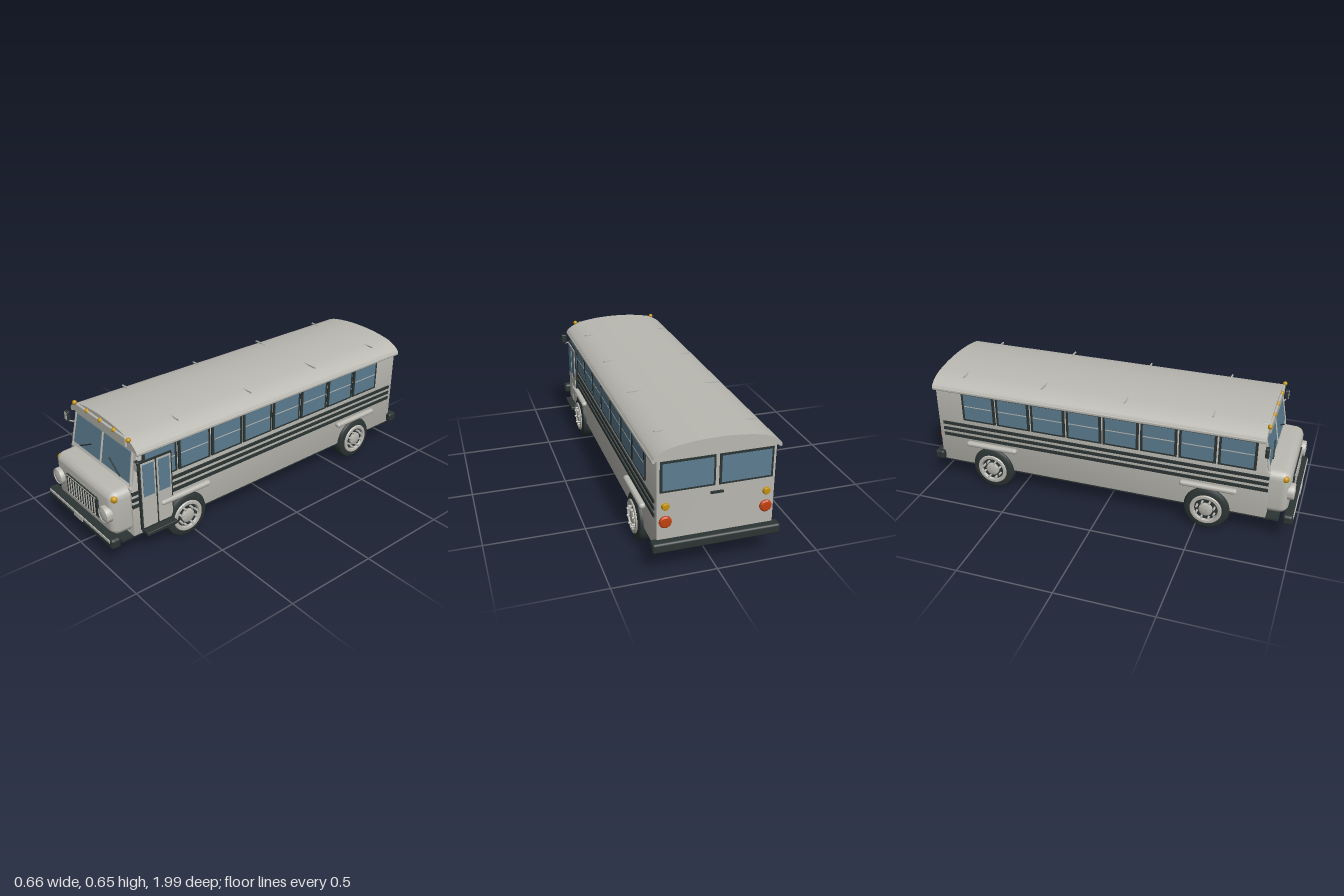
import * as THREE from 'three';
import { toCreasedNormals } from 'three/addons/utils/BufferGeometryUtils.js';
import { RoundedBoxGeometry } from 'three/addons/geometries/RoundedBoxGeometry.js';

const mat = (name, color) => {
  const m = new THREE.MeshStandardMaterial({ color });
  m.name = name;
  return m;
};
const paint = mat('light grey paint', 0xb9b8b1);
const dark = mat('dark trim', 0x2c3534);
const glass = mat('window glass', 0x5b7c90);
const amber = mat('amber lamp', 0xc4920c);
const red = mat('red lamp', 0xc0400e);

const V = (x, y, z) => new THREE.Vector3(x, y, z);

function add(parent, name, geo, material, x = 0, y = 0, z = 0) {
  const m = new THREE.Mesh(geo, material);
  m.name = name;
  m.position.set(x, y, z);
  parent.add(m);
  return m;
}
const box = (p, n, m, w, h, d, x, y, z) => add(p, n, new THREE.BoxGeometry(w, h, d), m, x, y, z);
const soft = (p, n, m, w, h, d, r, x, y, z) => add(p, n, new RoundedBoxGeometry(w, h, d, 4, r), m, x, y, z);
const ball = (p, n, m, r, x, y, z) => add(p, n, new THREE.SphereGeometry(r, 20, 14), m, x, y, z);

// Round bar between two points
function rod(p, n, m, a, b, r) {
  const mesh = add(p, n, new THREE.CylinderGeometry(r, r, a.distanceTo(b), 10), m);
  mesh.position.copy(a).add(b).multiplyScalar(0.5);
  mesh.quaternion.setFromUnitVectors(V(0, 1, 0), b.clone().sub(a).normalize());
  return mesh;
}
const lathe = (pts, seg = 40) =>
  toCreasedNormals(new THREE.LatheGeometry(pts.map(([x, y]) => new THREE.Vector2(x, y)), seg), 0.6);

// Wheel with its outer face towards local +y
function makeWheel() {
  const g = new THREE.Group();
  g.name = 'wheel';
  add(g, 'tyre', lathe([[0.078, -0.01], [0.08, -0.032], [0.1, -0.034], [0.114, -0.027], [0.121, -0.012],
    [0.122, 0], [0.121, 0.012], [0.114, 0.027], [0.1, 0.034], [0.08, 0.034]]), dark);
  add(g, 'rim', lathe([[0.001, -0.012], [0.06, -0.012], [0.07, -0.03], [0.082, -0.033], [0.084, 0.036],
    [0.08, 0.041], [0.066, 0.041], [0.06, 0.026]]), paint);
  add(g, 'rimWell', new THREE.CylinderGeometry(0.062, 0.062, 0.02, 32), dark, 0, 0.018, 0);
  add(g, 'hub', lathe([[0.037, 0.02], [0.036, 0.038], [0.03, 0.042], [0.001, 0.042]], 28), paint);
  for (let i = 0; i < 8; i++) {
    const a = (i + 0.5) * Math.PI / 4;
    add(g, 'wheelBolt', new THREE.CylinderGeometry(0.006, 0.006, 0.026, 8), paint,
      Math.cos(a) * 0.049, 0.038, Math.sin(a) * 0.049);
  }
  return g;
}

// Main shell: side profile drawn in (z, y), extruded across the width
function makeBody(g) {
  const s = new THREE.Shape([[-0.952, 0.13], [0.85, 0.13], [0.85, 0.385], [0.838, 0.4], [0.806, 0.575], [-0.952, 0.575]]
    .map(([z, y]) => new THREE.Vector2(-z, y)));
  const geo = new THREE.ExtrudeGeometry(s, { depth: 0.546, bevelThickness: 0.005, bevelSize: 0.005, bevelSegments: 2 });
  geo.translate(0, 0, -0.273).rotateY(Math.PI / 2);
  add(g, 'bodyShell', toCreasedNormals(geo, 0.6), paint);
  box(g, 'underfloor', dark, 0.54, 0.012, 1.86, 0, 0.12, -0.01);

  // Arched roof
  const half = [[0.298, 0.574], [0.292, 0.588], [0.27, 0.606], [0.235, 0.624], [0.19, 0.636], [0.1, 0.648]];
  const curve = new THREE.SplineCurve([...half, [0, 0.652], ...half.map(([x, y]) => [-x, y]).reverse()]
    .map(([x, y]) => new THREE.Vector2(x, y)));
  const roof = new THREE.ExtrudeGeometry(new THREE.Shape(curve.getPoints(48)), { depth: 1.79, bevelEnabled: false });
  roof.translate(0, 0, -0.965);
  add(g, 'roof', toCreasedNormals(roof, 0.6), paint);
  for (const z of [-0.8, -0.35, 0.1, 0.55])
    box(g, 'roofRib', paint, 0.485, 0.007, 0.007, 0, z === -0.35 ? 0.638 : 0.634, z);
}

// Hood, grille, headlights and front bumper
function makeNose(g) {
  const hood = new RoundedBoxGeometry(0.54, 0.245, 0.24, 6, 0.042);
  const p = hood.attributes.position;
  for (let i = 0; i < p.count; i++) {
    const t = Math.max(0, p.getZ(i) / 0.12);
    p.setX(i, p.getX(i) * (1 - 0.03 * t));
    if (p.getY(i) > 0) p.setY(i, p.getY(i) - 0.008 * t);
  }
  hood.computeVertexNormals();
  add(g, 'hood', toCreasedNormals(hood, 0.8), paint, 0, 0.272, 0.838);

  soft(g, 'grille', dark, 0.294, 0.112, 0.02, 0.006, 0, 0.264, 0.956);
  for (let i = 0; i < 11; i++)
    box(g, 'grilleBar', paint, 0.007, 0.086, 0.008, (i - 5) * 0.0243, 0.264, 0.966);
  for (const y of [0.213, 0.315]) box(g, 'grilleEdge', paint, 0.276, 0.004, 0.004, 0, y, 0.966);

  for (const s of [-1, 1]) {
    const lamp = add(g, 'headlight', lathe([[0.043, 0], [0.043, 0.026], [0.04, 0.032], [0.036, 0.032],
      [0.034, 0.029], [0.02, 0.034], [0.0005, 0.036]]), paint, s * 0.216, 0.271, 0.948);
    lamp.rotation.x = Math.PI / 2;
    ball(g, 'turnSignal', amber, 0.019, s * 0.247, 0.354, 0.93);
  }
  soft(g, 'frontBumper', dark, 0.61, 0.056, 0.054, 0.016, 0, 0.149, 0.967);
  box(g, 'bumperStrip', paint, 0.575, 0.014, 0.006, 0, 0.163, 0.993);
  box(g, 'bumperPlate', paint, 0.08, 0.027, 0.008, 0, 0.155, 0.994);
}

// Slanted windshield with wipers, header and mirrors
function makeWindshield(g) {
  const w = new THREE.Group();
  w.name = 'windshield';
  w.position.set(0, 0.485, 0.829);
  w.rotation.x = -0.182;
  g.add(w);
  for (const s of [-1, 1]) {
    const pane = new THREE.Shape([[0.01, -0.077], [0.255, -0.077], [0.243, 0.077], [0.01, 0.077]]
      .map(([x, y]) => new THREE.Vector2(s * x, y)));
    add(w, 'windshieldPane', new THREE.ExtrudeGeometry(pane, { depth: 0.006, bevelEnabled: false }), glass);
    rod(w, 'windshieldPillar', paint, V(s * 0.264, -0.09, 0.003), V(s * 0.251, 0.085, 0.003), 0.007);
    rod(w, 'wiper', dark, V(s * 0.182, -0.07, 0.012), V(s * 0.082, -0.02, 0.012), 0.0035);

    rod(g, 'mirrorArm', paint, V(s * 0.258, 0.511, 0.825), V(s * 0.312, 0.5, 0.836), 0.004);
    soft(g, 'mirrorHousing', dark, 0.03, 0.052, 0.02, 0.006, s * 0.316, 0.528, 0.838);
    box(g, 'mirrorFace', paint, 0.021, 0.042, 0.006, s * 0.316, 0.528, 0.847);
  }
  rod(w, 'windshieldDivider', paint, V(0, -0.085, 0.004), V(0, 0.085, 0.004), 0.006);
  soft(g, 'headerPanel', paint, 0.444, 0.055, 0.045, 0.006, 0, 0.604, 0.812);
  for (const x of [-0.242, -0.121, 0, 0.121, 0.242])
    ball(g, 'markerLamp', amber, 0.012, x, Math.abs(x) > 0.2 ? 0.627 : 0.629, 0.829);
}

// Windows, stripes, gutters, fender bars and wheels for one side
function makeSide(g, s) {
  for (let i = 0; i < 8; i++) {
    const z = 0.693 - i * 0.2;
    box(g, 'sideWindowFrame', dark, 0.012, 0.166, 0.19, s * 0.28, 0.481, z);
    box(g, 'sideWindowGlass', glass, 0.006, 0.146, 0.164, s * 0.2845, 0.481, z);
    box(g, 'sideWindowRail', paint, 0.004, 0.005, 0.164, s * 0.2865, 0.486, z);
  }
  for (const y of [0.292, 0.327, 0.362])
    box(g, 'sideStripe', dark, 0.009, 0.017, 1.785, s * 0.2795, y, -0.038);
  soft(g, 'roofGutter', paint, 0.016, 0.018, 1.79, 0.006, s * 0.293, 0.571, -0.07);
  for (const z of [0.557, -0.643])
    soft(g, 'fenderBar', paint, 0.032, 0.028, 0.295, 0.013, s * 0.289, 0.257, z);
  for (const z of [0.555, -0.645]) {
    const wheel = makeWheel();
    wheel.rotation.z = -s * Math.PI / 2;
    wheel.position.set(s * 0.264, 0.124, z);
    g.add(wheel);
  }
}

// Folding entry door with step
function makeDoor(g) {
  box(g, 'doorFrame', dark, 0.02, 0.375, 0.184, 0.282, 0.337, 0.725);
  for (const z of [0.681, 0.769]) {
    box(g, 'doorLeaf', paint, 0.008, 0.352, 0.079, 0.292, 0.338, z);
    box(g, 'doorGlass', glass, 0.006, 0.172, 0.062, 0.295, 0.42, z);
  }
  soft(g, 'doorStep', dark, 0.08, 0.02, 0.175, 0.005, 0.287, 0.139, 0.722);
}

// Rear windows, lamps, handle and bumper
function makeRear(g) {
  for (const s of [-1, 1]) {
    box(g, 'rearWindowFrame', dark, 0.254, 0.15, 0.01, s * 0.136, 0.492, -0.957);
    box(g, 'rearWindowGlass', glass, 0.234, 0.13, 0.008, s * 0.136, 0.492, -0.96);
    for (const [n, m, r, y] of [['rearAmberLamp', amber, 0.018, 0.347], ['tailLamp', red, 0.029, 0.27]]) {
      const lamp = add(g, n, lathe([[r, 0], [r, 0.008], [r * 0.8, 0.014], [0.0005, 0.016]], 28), m, s * 0.238, y, -0.956);
      lamp.rotation.x = -Math.PI / 2;
    }
  }
  box(g, 'rearHandle', dark, 0.06, 0.01, 0.012, 0, 0.382, -0.96);
  soft(g, 'rearBumper', dark, 0.61, 0.05, 0.054, 0.012, 0, 0.156, -0.968);
}

export function createModel() {
  const g = new THREE.Group();
  g.name = 'bus';
  makeBody(g);
  makeNose(g);
  makeWindshield(g);
  makeSide(g, 1);
  makeSide(g, -1);
  makeDoor(g);
  makeRear(g);
  return g;
}
